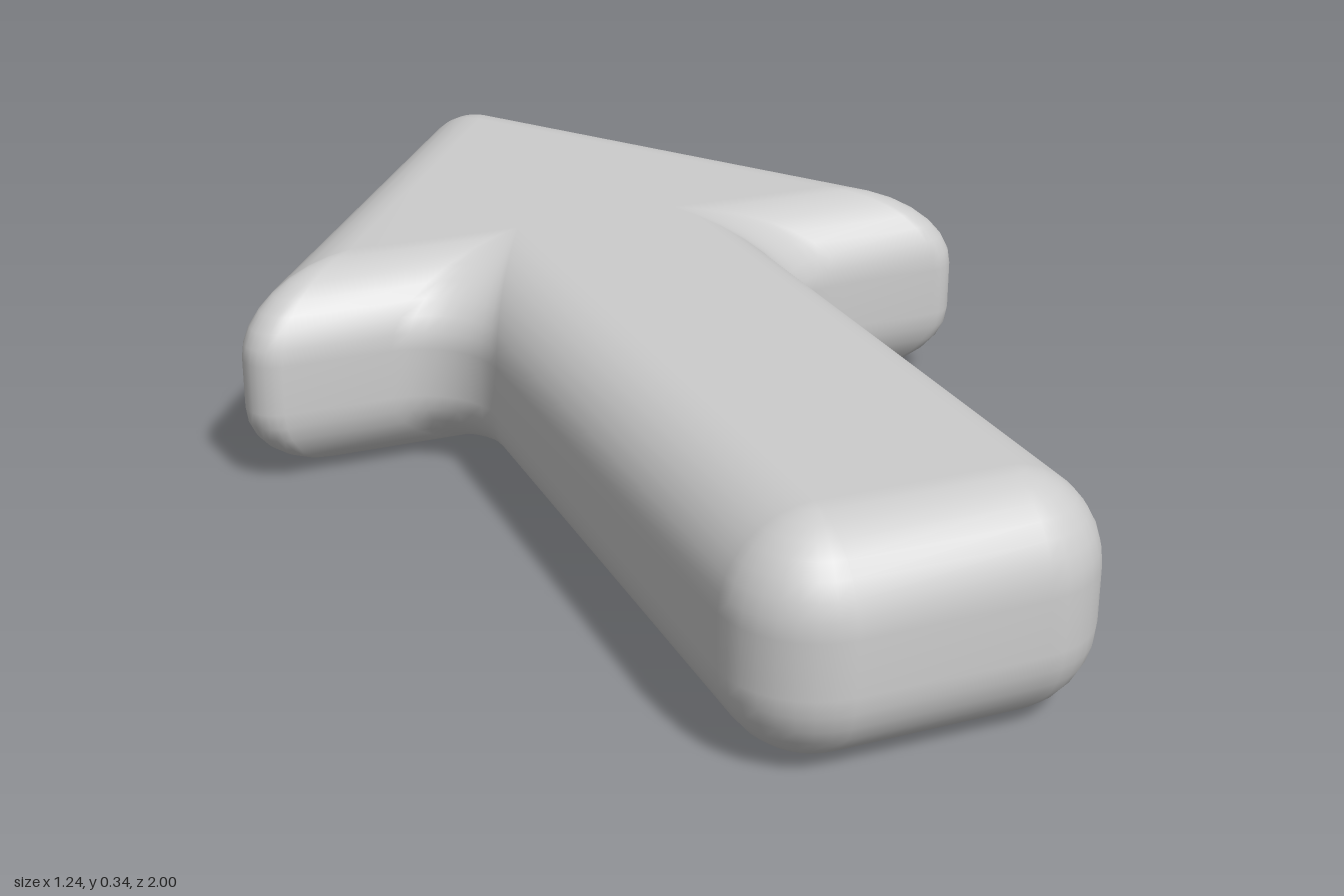
import * as THREE from 'three';
import { mergeVertices } from 'three/addons/utils/BufferGeometryUtils.js';

const HEIGHT = 0.34, BEVEL = 0.13, STEPS = 8;

// Sharp outline corners as [x, z, rounding radius], clockwise from above
const half = [[0.664, -0.1, 0.05], [0.265, -0.1, 0.13], [0.265, 1, 0.13]];
const corners = [[0, -1.066, 0.087], ...half,
  ...half.slice().reverse().map(([x, z, r]) => [-x, z, r])];

// Corners of the flat top and bottom faces, inset by the bevel width
const halfInset = [[0.417, -0.23], [0.135, -0.23], [0.135, 0.87]];
const inset = [[0, -0.837], ...halfInset,
  ...halfInset.slice().reverse().map(([x, z]) => [-x, z])].map(([x, z]) => new THREE.Vector2(x, z));

// Points of the arc that rounds one outline corner
function cornerArc(i) {
  const n = corners.length;
  const at = (k) => new THREE.Vector2(corners[(k + n) % n][0], corners[(k + n) % n][1]);
  const p = at(i), r = corners[i][2];
  const u = at(i - 1).sub(p).normalize(), v = at(i + 1).sub(p).normalize();
  const theta = Math.acos(u.dot(v)), phi = Math.PI - theta;
  const centre = u.clone().add(v).normalize().multiplyScalar(r / Math.sin(theta / 2)).add(p);
  const t = r / Math.tan(theta / 2);
  const a = u.multiplyScalar(t).add(p).sub(centre), b = v.multiplyScalar(t).add(p).sub(centre);
  return Array.from({ length: STEPS + 1 }, (_, k) => {
    const s = k / STEPS;
    return centre.clone()
      .addScaledVector(a, Math.sin((1 - s) * phi) / Math.sin(phi))
      .addScaledVector(b, Math.sin(s * phi) / Math.sin(phi));
  });
}

function arrowGeometry() {
  const outline = corners.flatMap((_, i) => cornerArc(i).map((outer) => ({ outer, inner: inset[i] })));
  const n = outline.length, per = STEPS + 1;

  // Rounded edge profile: bottom bevel, then top bevel
  const profile = [];
  for (let k = 0; k <= STEPS; k++) {
    const a = (k / STEPS) * Math.PI / 2;
    profile.push([Math.sin(a), BEVEL * (1 - Math.cos(a))]);
  }
  profile.push(...profile.slice().reverse().map(([s, y]) => [s, HEIGHT - y]));

  const positions = [], index = [];
  for (const [s, y] of profile) {
    for (const { outer, inner } of outline) {
      const p = inner.clone().lerp(outer, s);
      positions.push(p.x, y, p.y);
    }
  }
  for (let k = 0; k < profile.length - 1; k++) {
    for (let i = 0; i < n; i++) {
      const j = (i + 1) % n, a = k * n, b = a + n;
      // Skip slivers where a corner closes to a point on the flat faces
      const closed = i % per !== STEPS;
      if (!(closed && k === 0)) index.push(a + i, b + i, a + j);
      else index.push(a + i, b + i, b + j);
      if (!closed || (k !== 0 && k !== profile.length - 2)) index.push(a + j, b + i, b + j);
    }
  }

  // Flat faces
  const top = (profile.length - 1) * n;
  for (const [a, b, c] of [[0, 1, 2], [0, 2, 5], [0, 5, 6], [2, 3, 4], [2, 4, 5]]) {
    index.push(a * per, b * per, c * per);
    index.push(top + a * per, top + c * per, top + b * per);
  }

  const geometry = new THREE.BufferGeometry();
  geometry.setAttribute('position', new THREE.Float32BufferAttribute(positions, 3));
  geometry.setIndex(index);
  const merged = mergeVertices(geometry, 1e-5);
  merged.computeVertexNormals();
  return merged;
}

export function createModel() {
  const group = new THREE.Group();
  group.name = 'arrow';
  const grey = new THREE.MeshStandardMaterial({ color: 0xcccccc });
  grey.name = 'light grey';
  const body = new THREE.Mesh(arrowGeometry(), grey);
  body.name = 'arrowBody';
  group.add(body);
  return group;
}
